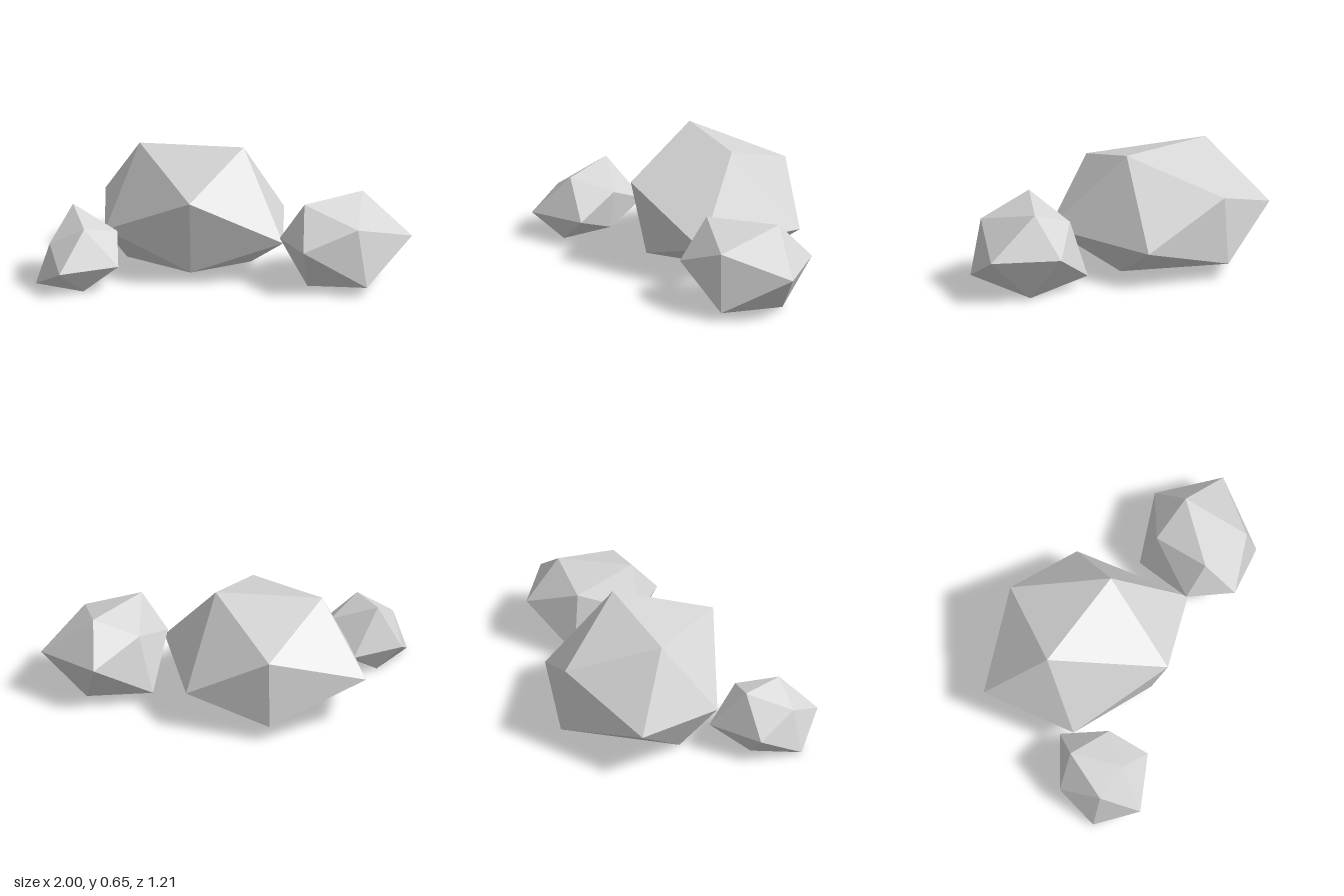
import * as THREE from 'three';
import { ConvexGeometry } from 'three/addons/geometries/ConvexGeometry.js';

// Each rock is a distorted icosahedron: twelve corners wrapped in a convex hull.
const ROCKS = {
  largeRock: [
    [-0.5, 0.628, -0.17], [0.07, 0.648, -0.1], [-0.17, 0.49, 0.39], [-0.18, 0.45, -0.58], // crown
    [0.255, 0.205, -0.415], [-0.715, 0.263, -0.44], [0.32, 0.23, 0.235], [-0.66, 0.215, 0.085], // waist
    [-0.18, 0.083, -0.607], [-0.175, 0.063, 0.29], [-0.56, 0, -0.095], [0.11, 0, -0.09], // base
  ],
  mediumRock: [
    [0.44, 0.47, 0.275], [0.725, 0.46, -0.01], [0.74, 0.365, 0.36], [0.48, 0.37, -0.05],
    [1, 0.24, 0.065], [0.453, 0.255, 0.45], [0.302, 0.26, 0.235], [0.737, 0.25, -0.208],
    [0.79, 0.05, 0.39], [0.41, 0.06, -0.115], [0.76, 0, -0.01], [0.453, 0, 0.255],
  ],
  smallRock: [
    [-0.825, 0.385, 0.16], [-0.735, 0.34, 0.435], [-0.575, 0.275, 0.258], [-0.925, 0.24, 0.4],
    [-0.545, 0.15, 0.48], [-0.85, 0.137, 0.607], [-0.955, 0.136, 0.168], [-0.685, 0.16, 0.015],
    [-1, 0.01, 0.4], [-0.595, 0.07, 0.265], [-0.82, 0, 0.19], [-0.735, 0, 0.475],
  ],
};

export function createModel() {
  const group = new THREE.Group();
  group.name = 'rocks';

  const stone = new THREE.MeshStandardMaterial({ color: 0xd5d5d5 });
  stone.name = 'pale stone grey';

  for (const [name, corners] of Object.entries(ROCKS)) {
    const points = corners.map((c) => new THREE.Vector3(...c));
    const rock = new THREE.Mesh(new ConvexGeometry(points), stone);
    rock.name = name;
    group.add(rock);
  }
  return group;
}
